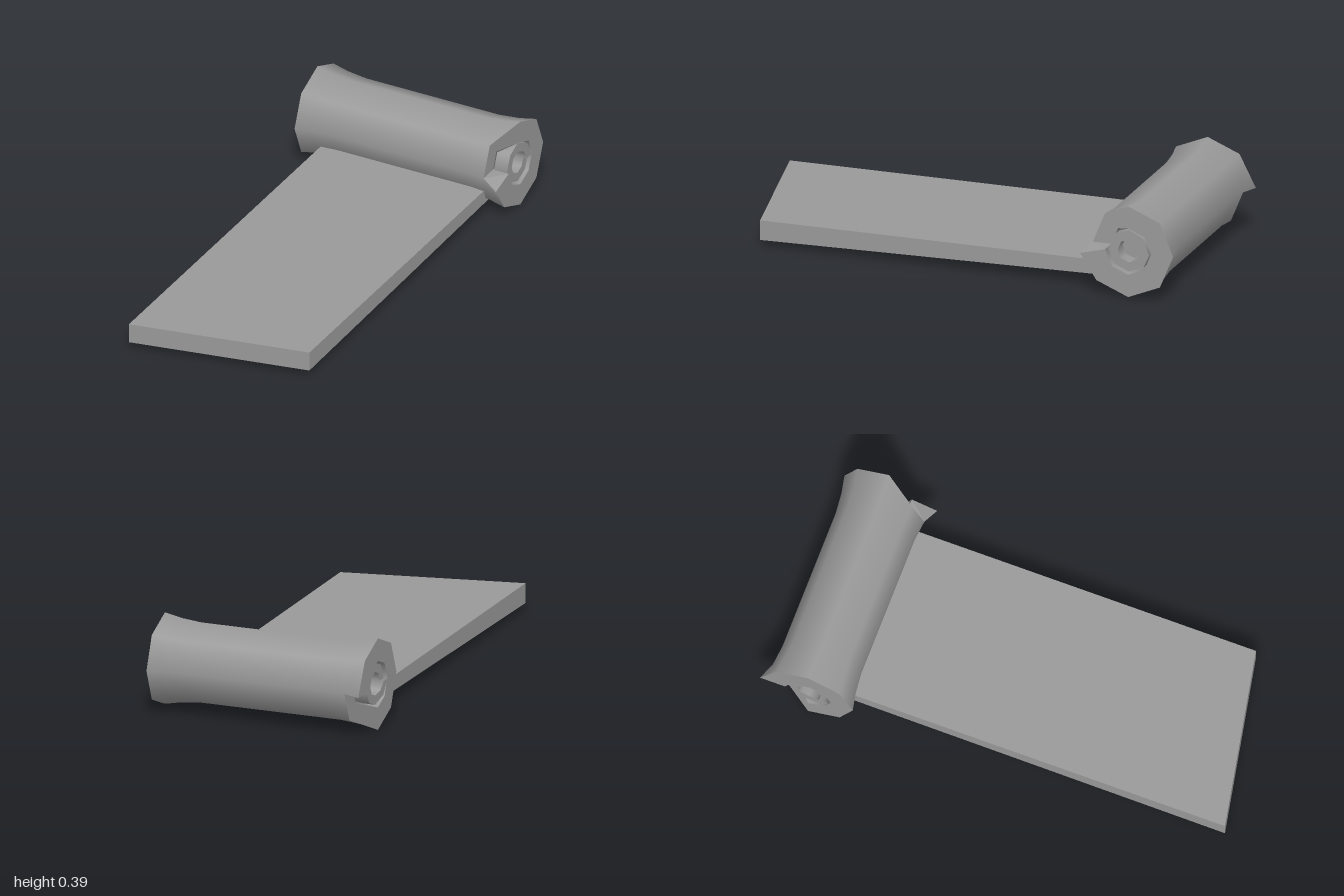
import * as THREE from 'three';

const AXIS_Y = 0.199, AXIS_Z = -0.79, SIDES = 8;
const STEP = (2 * Math.PI) / SIDES;
const END = 0.473, NOTCH = 0.4;
const OUT = [0, 1], IN = [0, -1], AXIAL = [1, 0];

// Surface from rows of [x, radius, angle] swept round the roll's axis, with
// smooth normals given as [along axis, radial].
// sign = -1 point-reflects it to make the opposite end.
function sweep(rowCount, point, sign, [nx, nr]) {
  const pos = [], nor = [], idx = [];
  for (let i = 0; i < rowCount; i++) {
    for (let k = 0; k <= SIDES; k++) {
      const [x, r, a] = point(i, k);
      const s = sign * Math.sin(a), c = sign * Math.cos(a);
      pos.push(sign * x, r * s, r * c);
      nor.push(sign * nx, nr * s, nr * c);
      if (i + 1 === rowCount || k === SIDES) continue;
      const p = i * (SIDES + 1) + k, q = p + SIDES + 1;
      if (sign > 0) idx.push(p, p + 1, q + 1, p, q + 1, q);
      else idx.push(p, q + 1, p + 1, p, q, q + 1);
    }
  }
  const geo = new THREE.BufferGeometry();
  geo.setAttribute('position', new THREE.Float32BufferAttribute(pos, 3));
  geo.setAttribute('normal', new THREE.Float32BufferAttribute(nor, 3));
  geo.setIndex(idx);
  return geo;
}

export function createModel() {
  const model = new THREE.Group();
  model.name = 'unrolledMat';
  const material = new THREE.MeshStandardMaterial({ color: 0x999999, side: THREE.DoubleSide });

  const add = (parent, name, geo) => {
    const mesh = new THREE.Mesh(geo, material);
    mesh.name = name;
    parent.add(mesh);
  };

  // Flat sheet: slanted front edge, slightly thinner towards the roll
  const sheet = new THREE.BoxGeometry(0.76, 1, 1);
  const p = sheet.attributes.position;
  for (let i = 0; i < p.count; i++) {
    const front = p.getZ(i) > 0, x = p.getX(i);
    const bottom = front ? 0.029 : 0.055;
    p.setY(i, p.getY(i) > 0 ? 0.114 : bottom);
    p.setZ(i, front ? (x < 0 ? 1.0 : 0.85) : -0.75);
  }
  sheet.computeVertexNormals();
  add(model, 'sheet', sheet);

  const roll = new THREE.Group();
  roll.name = 'roll';
  roll.position.set(0, AXIS_Y, AXIS_Z);
  model.add(roll);

  // Each end steps back over its last eighth, leaving a lifted tip at the seam
  const endX = (k) => (k < 7 ? END : NOTCH);
  const profile = [[0, 0.172], [0.31, 0.172], [0.4, 0.181], [END, 0.196]];
  const coreX = (k) => (k === 0 ? 0.478 : k === 1 ? 0.47 : 0.46);

  for (const sign of [1, -1]) {
    const end = new THREE.Group();
    end.name = sign > 0 ? 'leftHalf' : 'rightHalf';
    roll.add(end);

    const tip = sign > 0 ? [END, 0.212, -0.14] : [END, 0.21, 0];
    const outer = (i, k) => {
      if (i === 3 && k === 0) return tip;
      const [x, r] = profile[i === 3 && k >= 7 ? 2 : i];
      return [x, r, -k * STEP];
    };
    add(end, 'rollShell', sweep(4, outer, sign, OUT));

    // End face and the tapering wall of the gap inside it
    const face = (i, k) => (i === 0 ? outer(3, k) : [endX(k), 0.1, -k * STEP]);
    add(end, 'rollEnd', sweep(2, face, sign, AXIAL));
    const gap = (i, k) => [i === 0 ? endX(k) : NOTCH, i === 0 ? 0.1 : 0.09, -k * STEP];
    add(end, 'rollGap', sweep(2, gap, sign, IN));

    // Inner turn of the roll: a small ring with its seam on the far side
    const core = [
      ['coreWall', [NOTCH, 0.09], [null, 0.09], OUT],
      ['coreEnd', [null, 0.09], [null, 0.05], AXIAL],
      ['coreHole', [null, 0.05], [NOTCH, 0.05], IN],
      ['coreFloor', [NOTCH, 0.05], [NOTCH, 0], AXIAL],
    ];
    for (const [name, from, to, normal] of core) {
      const ring = (i, k) => {
        const [x, r] = i === 0 ? from : to;
        return [x ?? coreX(k), r, Math.PI - k * STEP];
      };
      add(end, name, sweep(2, ring, sign, normal));
    }

    // Wall closing the step at the seam
    const corners = [[NOTCH, 0.181, 0], tip, [END, 0.1, 0], [NOTCH, 0.1, 0]];
    const at = corners.map(([x, r, a]) =>
      new THREE.Vector3(x, r * Math.sin(a), r * Math.cos(a)).multiplyScalar(sign));
    const order = sign > 0 ? [0, 1, 2, 0, 2, 3] : [0, 2, 1, 0, 3, 2];
    const wall = new THREE.BufferGeometry().setFromPoints(order.map((n) => at[n]));
    wall.computeVertexNormals();
    add(end, 'seamStep', wall);
  }
  return model;
}
